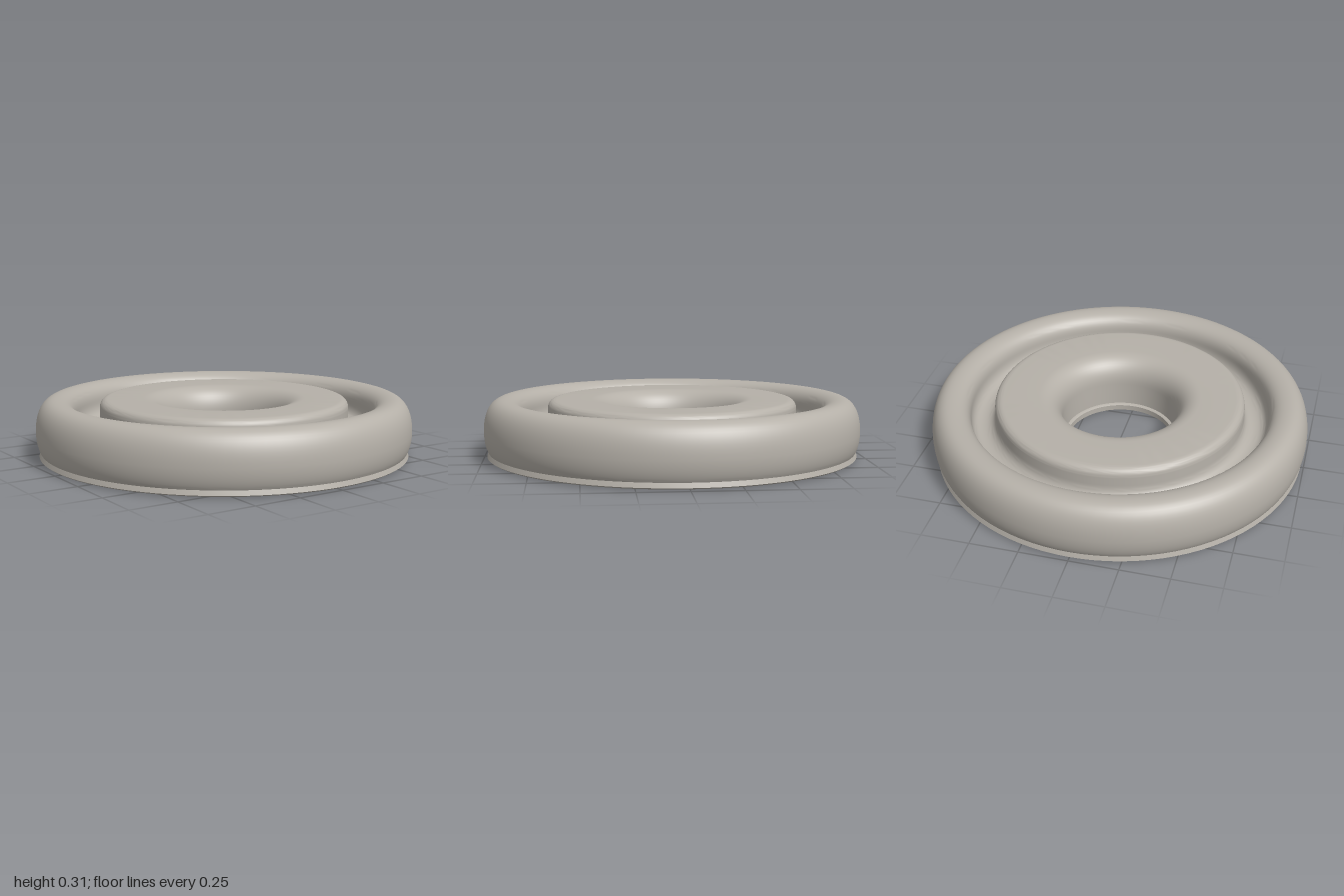
import * as THREE from 'three';
import { toCreasedNormals } from 'three/addons/utils/BufferGeometryUtils.js';

const SEGMENTS = 96;

// Spin a closed (radius, height) profile around y, keeping hard edges crisp
function ring(name, points, material) {
  const geometry = toCreasedNormals(new THREE.LatheGeometry(points, SEGMENTS), 0.6);
  const mesh = new THREE.Mesh(geometry, material);
  mesh.name = name;
  return mesh;
}

export function createModel() {
  const group = new THREE.Group();
  group.name = 'groovedRing';
  const stone = new THREE.MeshStandardMaterial({ color: 0xb5b0a8 });
  stone.name = 'warmGrey';

  // Thin base plate with a slightly chamfered rim
  const plate = [
    [0.287, 0], [0.93, 0], [0.975, 0.005], [0.985, 0.012], [0.977, 0.036],
    [0.3, 0.036], [0.287, 0.03], [0.287, 0],
  ].map(([r, y]) => new THREE.Vector2(r, y));
  group.add(ring('basePlate', plate, stone));

  // Body: bulging outer rim, round-bottomed groove, raised disc and flared hole
  const profile = new THREE.Path();
  profile.moveTo(0.976, 0.034);
  profile.bezierCurveTo(0.992, 0.06, 1, 0.1, 1, 0.14);
  profile.bezierCurveTo(1, 0.24, 0.965, 0.31, 0.895, 0.31);
  profile.bezierCurveTo(0.835, 0.31, 0.795, 0.28, 0.793, 0.22);
  profile.bezierCurveTo(0.793, 0.165, 0.77, 0.14, 0.73, 0.14);
  profile.bezierCurveTo(0.69, 0.14, 0.663, 0.165, 0.663, 0.21);
  profile.lineTo(0.663, 0.255);
  profile.bezierCurveTo(0.663, 0.285, 0.645, 0.302, 0.615, 0.302);
  profile.lineTo(0.43, 0.302);
  profile.bezierCurveTo(0.36, 0.302, 0.308, 0.25, 0.308, 0.16);
  profile.lineTo(0.304, 0.034);
  group.add(ring('groovedBody', profile.getPoints(12), stone));

  return group;
}
